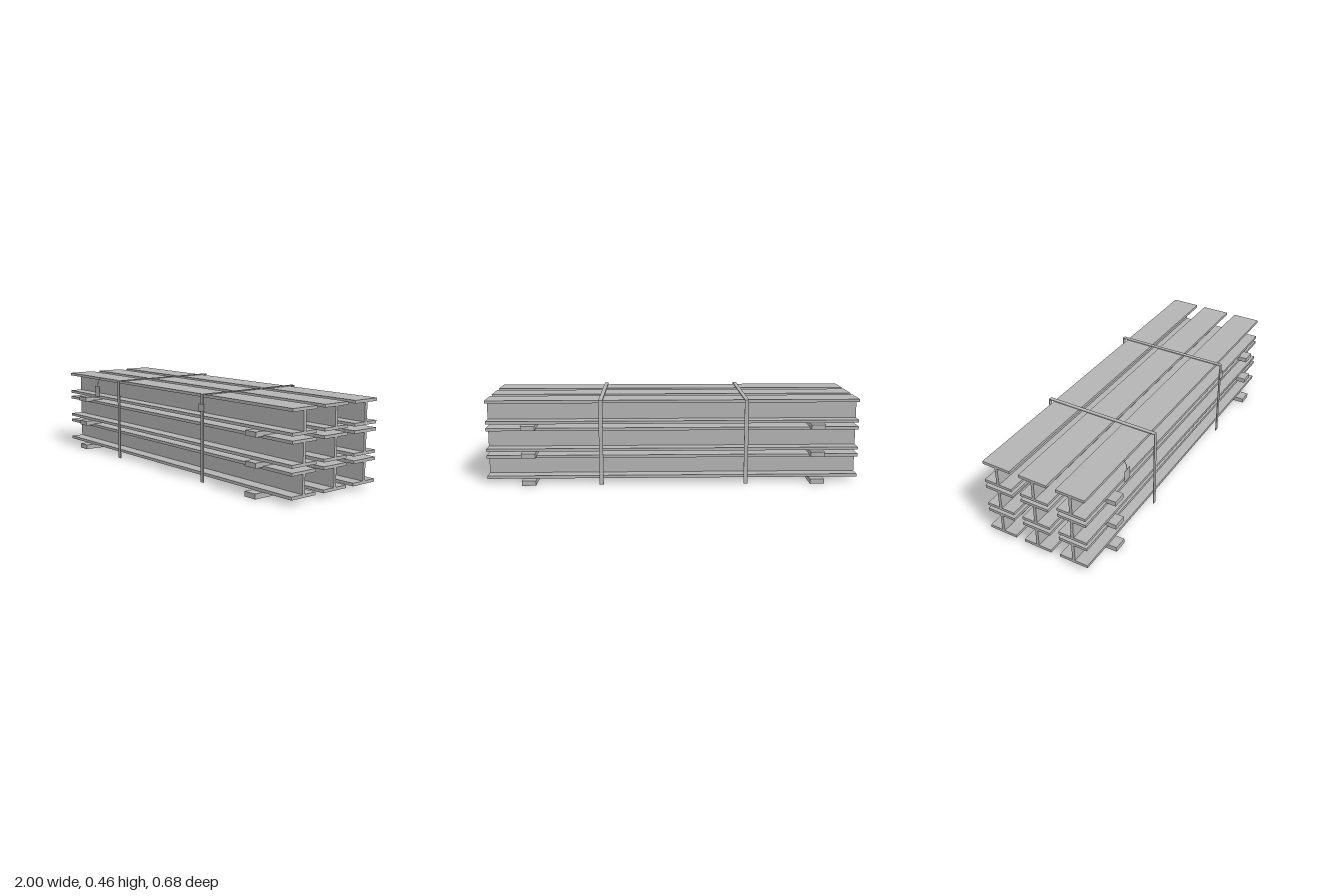
import * as THREE from 'three';

export function createModel() {
  const group = new THREE.Group();
  const steel = new THREE.MeshStandardMaterial({ color: 0xb4b4b4 });
  steel.name = 'plain grey';

  const add = (name, geometry, x, y, z) => {
    const mesh = new THREE.Mesh(geometry, steel);
    mesh.name = name;
    mesh.position.set(x, y, z);
    group.add(mesh);
    return mesh;
  };
  const box = (name, w, h, d, x, y, z) => add(name, new THREE.BoxGeometry(w, h, d), x, y, z);

  // I-beam section, extruded along its length
  const F = 0.08, W = 0.008, H = 0.128, T = 0.0155;
  const section = new THREE.Shape([
    [-F, 0], [F, 0], [F, T], [W, T], [W, H - T], [F, H - T],
    [F, H], [-F, H], [-F, H - T], [-W, H - T], [-W, T], [-F, T],
  ].map(([u, v]) => new THREE.Vector2(u, v)));
  const beam = new THREE.ExtrudeGeometry(section, { depth: 2, bevelEnabled: false });
  beam.translate(0, 0, -1).rotateY(Math.PI / 2);

  // Three layers of three beams, each layer on two timber bearers
  for (const base of [0.027, 0.176, 0.325]) {
    for (const z of [-0.213, 0, 0.213]) add('beam', beam, 0, base, z);
    for (const x of [-0.774, 0.771]) box('bearer', 0.075, 0.026, 0.684, x, base - 0.0135, 0);
  }

  // Straps over the top and down both sides
  for (const x of [-0.39, 0.385]) {
    box('strapTop', 0.022, 0.004, 0.65, x, 0.456, 0);
    for (const side of [-1, 1]) box('strapSide', 0.022, 0.454, 0.004, x, 0.227, side * 0.323);
  }
  box('strapBuckle', 0.043, 0.039, 0.008, 0.385, 0.389, 0.327);

  // Hanging tag and its wire
  box('tag', 0.052, 0.065, 0.002, -0.648, 0.369, 0.31);
  const wire = new THREE.CatmullRomCurve3([
    new THREE.Vector3(0, 0.449, 0.293),
    new THREE.Vector3(0, 0.428, 0.304),
    new THREE.Vector3(0, 0.4, 0.31),
  ]);
  add('tagWire', new THREE.TubeGeometry(wire, 8, 0.0018, 6), -0.648, 0, 0);

  return group;
}
